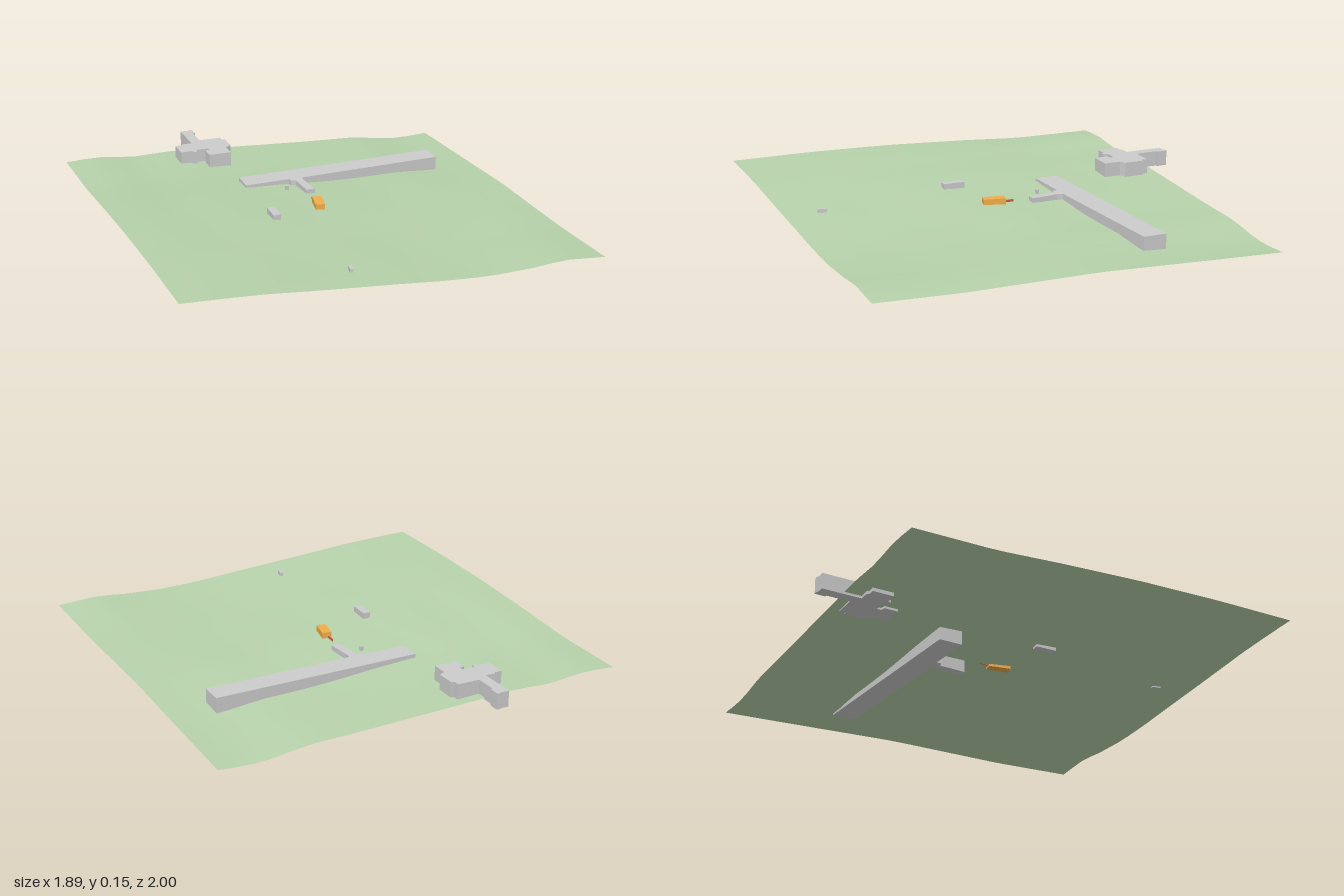
import * as THREE from 'three';

const material = (color) => new THREE.MeshStandardMaterial({ color });
const grey = material(0xcccccc);
const orange = material(0xf0ae4a);
const red = material(0xd0603a);

// Piecewise-linear lookup through [position, height] pairs
function profile(points, p) {
  for (let i = 1; i < points.length; i++) {
    const [a, ha] = points[i - 1], [b, hb] = points[i];
    if (p <= b) return THREE.MathUtils.lerp(ha, hb, Math.max(0, (p - a) / (b - a)));
  }
  return points[points.length - 1][1];
}

// Heights along the four edges of the ground
const X = 0.945, Z0 = -0.89, Z1 = 1;
const FRONT = [[-X, 0.15], [-0.8, 0.145], [-0.6, 0.135], [-0.4, 0.118], [-0.2, 0.102], [0, 0.087],
  [0.2, 0.07], [0.4, 0.06], [0.6, 0.066], [0.75, 0.08], [X, 0.065]];
const BACK = [[-X, 0.09], [-0.8, 0.098], [-0.62, 0.076], [-0.45, 0.082], [-0.2, 0.068], [0, 0.058],
  [0.3, 0.042], [0.55, 0.033], [0.7, 0.008], [0.8, 0.0], [X, 0.008]];
const LEFT = [[Z0, 0.09], [-0.5, 0.094], [-0.2, 0.115], [0.2, 0.137], [0.6, 0.148], [Z1, 0.15]];
const RIGHT = [[Z0, 0.008], [-0.6, 0.02], [-0.25, 0.036], [0, 0.047], [0.6, 0.05], [Z1, 0.065]];

// Blend the edge profiles across the ground, with a gentle ripple inside
function groundHeight(x, z) {
  const { lerp } = THREE.MathUtils;
  const s = (x + X) / (2 * X), t = (z - Z0) / (Z1 - Z0);
  const along = lerp(profile(BACK, x), profile(FRONT, x), t);
  const across = lerp(profile(LEFT, z), profile(RIGHT, z), s);
  const corners = lerp(lerp(0.09, 0.008, s), lerp(0.15, 0.065, s), t);
  const inside = 16 * s * (1 - s) * t * (1 - t);
  return along + across - corners + 0.003 * inside * Math.sin(9 * x + 2 * z) * Math.cos(8 * z - 3 * x);
}

function makeGround() {
  const geometry = new THREE.PlaneGeometry(2 * X, Z1 - Z0, 22, 22);
  geometry.rotateX(-Math.PI / 2).translate(0, 0, (Z0 + Z1) / 2);
  const p = geometry.attributes.position;
  for (let i = 0; i < p.count; i++) p.setY(i, groundHeight(p.getX(i), p.getZ(i)));
  geometry.computeVertexNormals();
  const ground = material(0xb7d2ab);
  ground.side = THREE.DoubleSide;
  const mesh = new THREE.Mesh(geometry, ground);
  mesh.name = 'ground';
  return mesh;
}

// Raise a plan outline of [x, z] corners from y0 to y1
function makeBlock(name, outline, y0, y1) {
  const shape = new THREE.Shape(outline.map(([x, z]) => new THREE.Vector2(x, -z)));
  const geometry = new THREE.ExtrudeGeometry(shape, { depth: y1 - y0, bevelEnabled: false });
  geometry.rotateX(-Math.PI / 2).translate(0, y0, 0);
  const mesh = new THREE.Mesh(geometry, grey);
  mesh.name = name;
  return mesh;
}

function makeBox(name, [w, h, d], [x, y, z], turn = 0, mat = grey) {
  const mesh = new THREE.Mesh(new THREE.BoxGeometry(w, h, d), mat);
  mesh.position.set(x, y, z);
  mesh.rotation.y = turn;
  mesh.name = name;
  return mesh;
}

export function createModel() {
  const model = new THREE.Group();
  model.name = 'siteModel';
  model.add(makeGround());

  // Long building with a short wing toward the front
  model.add(makeBlock('longBuilding', [
    [-0.24, -0.38], [0.745, -0.425], [0.745, -0.315], [0.04, -0.277], [0.035, -0.25],
    [0.045, -0.12], [0.003, -0.12], [-0.002, -0.25], [-0.025, -0.255], [-0.025, -0.278], [-0.24, -0.27],
  ], 0.02, 0.097));

  // Stepped building with a narrow rear wing
  model.add(makeBlock('steppedBuilding', [
    [-0.34, -0.995], [-0.3, -0.995], [-0.3, -1], [-0.28, -1], [-0.28, -0.95], [-0.29, -0.95],
    [-0.29, -0.84], [-0.185, -0.84], [-0.185, -0.81], [-0.17, -0.81], [-0.17, -0.715], [-0.2, -0.7],
    [-0.2, -0.62], [-0.307, -0.62], [-0.307, -0.685], [-0.285, -0.69], [-0.285, -0.71], [-0.31, -0.71],
    [-0.345, -0.71], [-0.35, -0.685], [-0.365, -0.685], [-0.37, -0.7], [-0.425, -0.7],
    [-0.425, -0.8], [-0.39, -0.8], [-0.39, -0.81], [-0.34, -0.81],
  ], 0.065, 0.138));

  // Small detached buildings
  model.add(makeBox('orangeBuilding', [0.043, 0.037, 0.103], [-0.003, 0.09, 0.053], -0.19, orange));
  model.add(makeBox('entranceLine', [0.004, 0.012, 0.045], [0, 0.085, -0.02], 0, red));
  model.add(makeBox('sideBuilding', [0.034, 0.038, 0.1], [-0.252, 0.108, 0.15], -0.03));
  model.add(makeBox('frontHut', [0.015, 0.022, 0.04], [-0.153, 0.104, 0.825], -0.2));
  model.add(makeBox('wingHut', [0.016, 0.02, 0.013], [-0.066, 0.09, -0.195], 0.1));
  return model;
}
